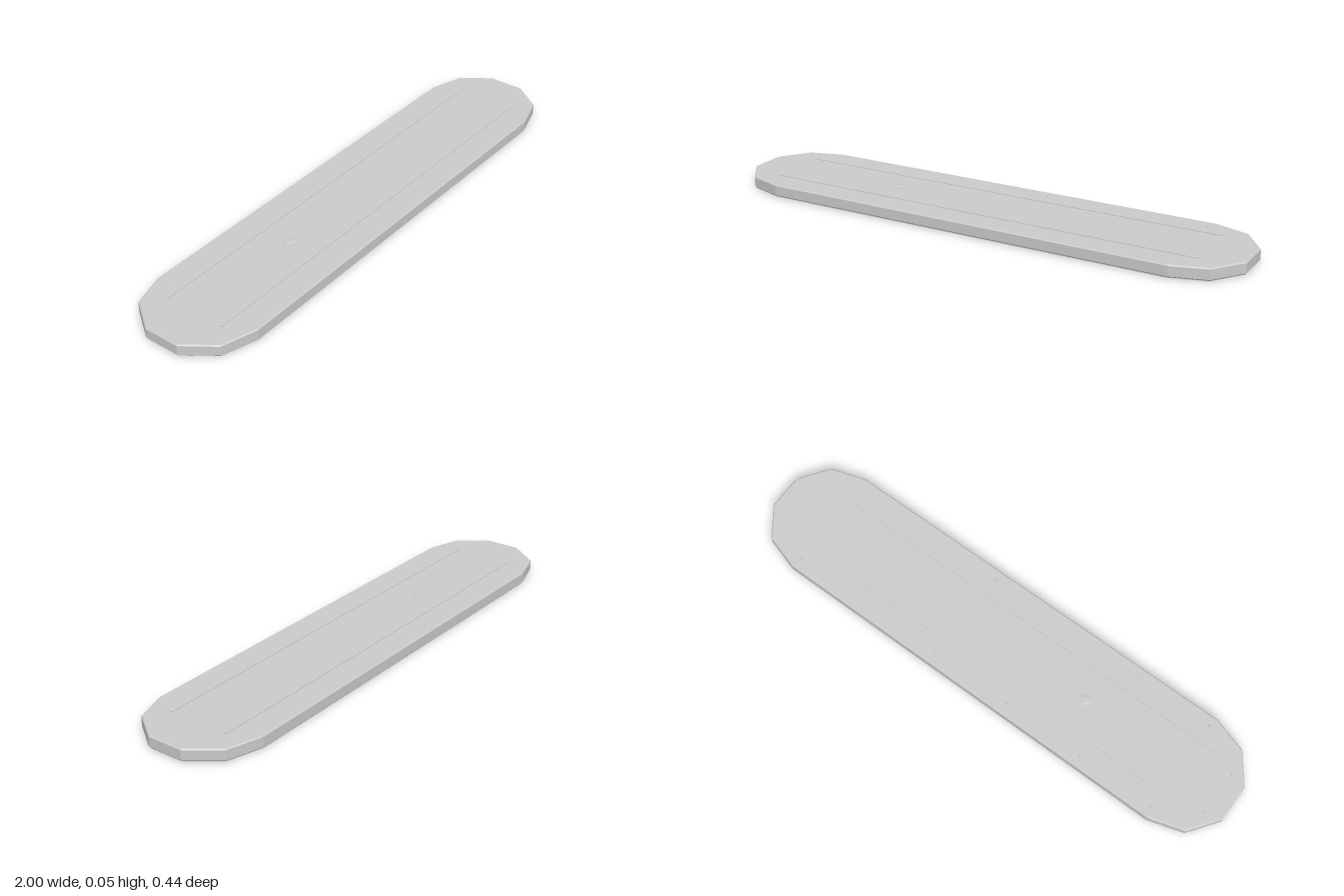
import * as THREE from 'three';

const grey = new THREE.MeshStandardMaterial({ color: 0xcccccc, flatShading: true });

// Elongated twelve-sided outline, shrunk by an inset
function outline(inset = 0) {
  const quarter = [[1, 0.068], [0.92, 0.178], [0.79, 0.218]].map(([x, z]) => [x - inset, z - inset * 0.8]);
  const back = quarter.slice().reverse();
  const points = [
    ...quarter,
    ...back.map(([x, z]) => [-x, z]),
    ...quarter.map(([x, z]) => [-x, -z]),
    ...back.map(([x, z]) => [x, -z]),
  ];
  return new THREE.Shape(points.map(([x, z]) => new THREE.Vector2(x, z)));
}

function rectHole(x, z, w, d) {
  return new THREE.Path([[-1, -1], [-1, 1], [1, 1], [1, -1]].map(
    ([a, b]) => new THREE.Vector2(x + a * w / 2, -z + b * d / 2)));
}

function roundHole(x, z, r) {
  const path = new THREE.Path();
  path.absarc(x, -z, r, 0, Math.PI * 2, true);
  return path;
}

export function createModel() {
  const model = new THREE.Group();
  const add = (name, geometry, x = 0, y = 0, z = 0, parent = model) => {
    const mesh = new THREE.Mesh(geometry, grey);
    mesh.name = name;
    mesh.position.set(x, y, z);
    parent.add(mesh);
    return mesh;
  };
  const group = (name) => {
    const g = new THREE.Group();
    g.name = name;
    model.add(g);
    return g;
  };

  // Main slab with chamfered rims
  const slab = new THREE.ExtrudeGeometry(outline(), {
    depth: 0.036, bevelEnabled: true, bevelThickness: 0.004,
    bevelSize: 0.004, bevelOffset: -0.004, bevelSegments: 1,
  }).rotateX(-Math.PI / 2);
  add('slab', slab, 0, 0.007, 0);

  // Base plate with mounting slots, ports and drilled holes
  const plate = outline(0.005);
  for (const sx of [-1, 1]) {
    plate.holes.push(rectHole(sx * 0.715, 0, 0.03, 0.07));
    for (const sz of [-1, 1]) {
      plate.holes.push(rectHole(sx * 0.715, sz * 0.095, 0.2, 0.014));
      for (const x of [0.53, 0.835]) plate.holes.push(roundHole(sx * x, sz * 0.127, 0.011));
      plate.holes.push(roundHole(sx * 0.77, sz * 0.18, 0.007));
      plate.holes.push(roundHole(sx * 0.93, sz * 0.09, 0.007));
      plate.holes.push(roundHole(sx * 0.33, sz * 0.055, 0.005));
    }
  }
  const holes = [
    [0.49, 0, 0.013], [0.28, -0.107, 0.011], [0, 0, 0.008], [0, -0.06, 0.006],
    [0.41, 0.068, 0.005], [0.37, -0.09, 0.005], [-0.475, 0.02, 0.006], [-0.4, -0.158, 0.006],
  ];
  holes.forEach(([x, z, r]) => plate.holes.push(roundHole(x, z, r)));
  const plateGeometry = new THREE.ExtrudeGeometry(plate, { depth: 0.003, bevelEnabled: false, curveSegments: 6 })
    .rotateX(-Math.PI / 2);
  add('basePlate', plateGeometry);

  // Long thin strips on the top
  for (const sz of [-1, 1]) add('topStrip', new THREE.BoxGeometry(1.7, 0.004, 0.009), 0, 0.0475, sz * 0.116);

  // Screw heads around the top edge
  const screws = group('screws');
  const head = new THREE.CylinderGeometry(0.004, 0.006, 0.004, 10);
  for (const sz of [-1, 1]) {
    for (const x of [-0.78, -0.48, -0.16, 0.155, 0.475, 0.775]) add('screw', head, x, 0.0475, sz * 0.18, screws);
    for (const x of [-0.94, 0.94]) add('screw', head, x, 0.0475, sz * 0.083, screws);
  }

  // Low domed button
  add('button', new THREE.CylinderGeometry(0.01, 0.021, 0.002, 20), -0.375, 0.05, 0);
  add('buttonBase', new THREE.CylinderGeometry(0.022, 0.022, 0.004, 20), -0.375, 0.047, 0);

  return model;
}
